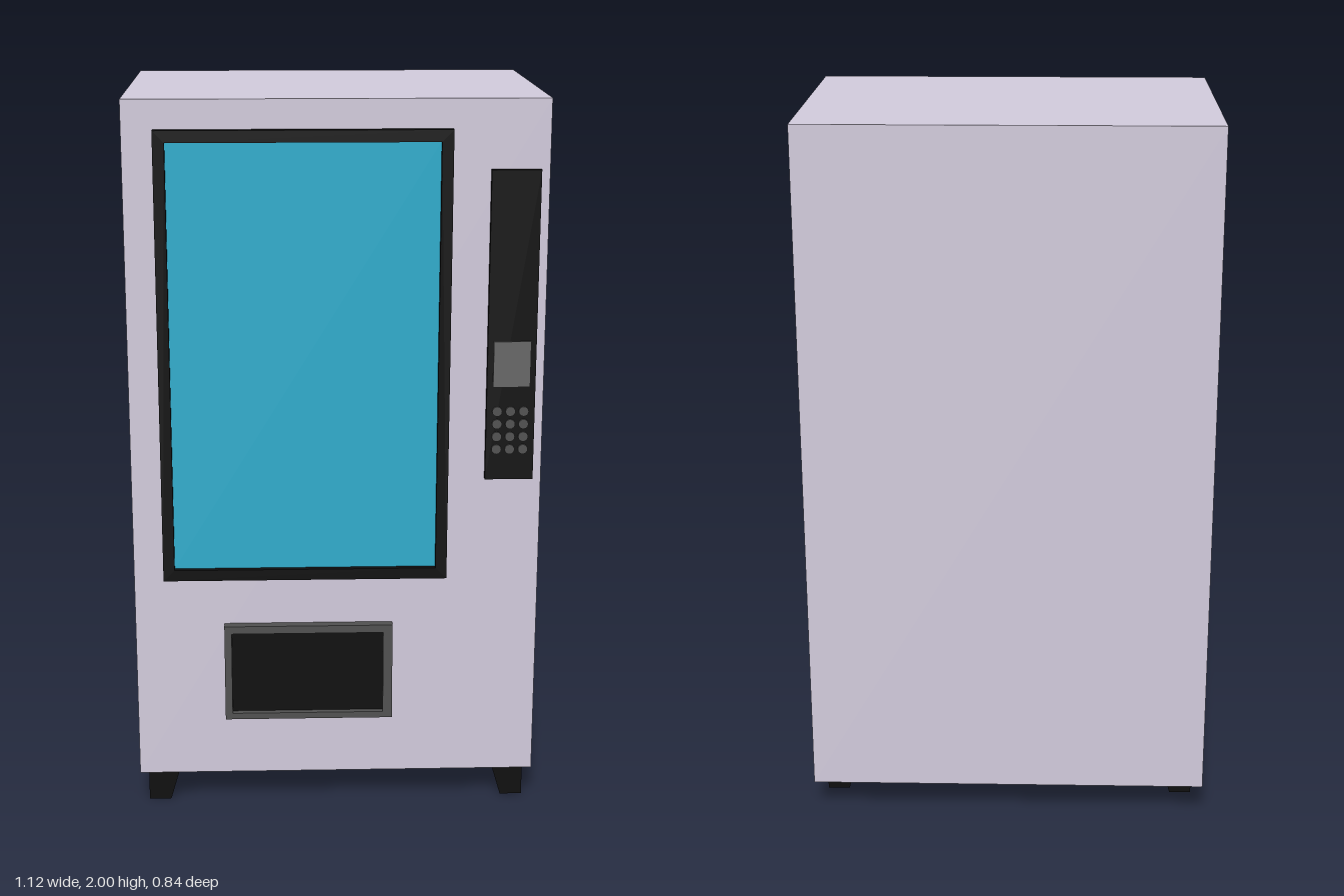
import * as THREE from 'three';

const mat = (color) => new THREE.MeshStandardMaterial({ color, flatShading: true });
const FRONT = 0.395; // z of the cabinet's front face

export function createModel() {
  const group = new THREE.Group();
  const shell = mat(0xd1cadb), black = mat(0x0e0e0e), grey = mat(0x505050);
  const screenGrey = mat(0x666666), glass = mat(0x2dabcb);

  const add = (name, geometry, material) => {
    const mesh = new THREE.Mesh(geometry, material);
    mesh.name = name;
    group.add(mesh);
    return mesh;
  };
  // Box given by its limits on each axis
  const box = (name, x0, x1, y0, y1, z0, z1, material) =>
    add(name, new THREE.BoxGeometry(x1 - x0, y1 - y0, z1 - z0), material)
      .position.set((x0 + x1) / 2, (y0 + y1) / 2, (z0 + z1) / 2);
  const rect = (T, x0, x1, y0, y1) => new T().moveTo(x0, y0).lineTo(x1, y0).lineTo(x1, y1).lineTo(x0, y1).closePath();
  // Rectangular frame standing on the front face
  const frame = (name, outer, inner, depth, material) => {
    const shape = rect(THREE.Shape, ...outer);
    shape.holes.push(rect(THREE.Path, ...inner));
    add(name, new THREE.ExtrudeGeometry(shape, { depth, bevelEnabled: false }), material).position.z = FRONT;
  };

  // Cabinet
  box('cabinet', -0.56, 0.56, 0.095, 2, -0.422, FRONT, shell);

  // Display window
  const pane = [-0.447, 0.273, 0.717, 1.89];
  frame('windowFrame', [-0.478, 0.304, 0.686, 1.922], pane, 0.024, black);
  box('windowGlass', ...pane, FRONT - 0.01, FRONT + 0.008, glass);

  // Collection tray
  const flap = [-0.293, 0.13, 0.288, 0.528];
  frame('trayFrame', [-0.313, 0.156, 0.27, 0.55], flap, 0.027, grey);
  box('trayFlap', ...flap, FRONT - 0.01, FRONT + 0.01, black);

  // Control panel with screen and keypad
  box('controlPanel', 0.405, 0.536, 0.97, 1.816, FRONT - 0.01, 0.411, black);
  box('screen', 0.421, 0.521, 1.231, 1.357, 0.4, 0.416, screenGrey);
  const key = new THREE.CylinderGeometry(0.0135, 0.0135, 0.015, 16).rotateX(Math.PI / 2);
  for (let row = 0; row < 4; row++) {
    for (let col = 0; col < 3; col++) {
      add('key', key, grey).position.set(0.434 + col * 0.036, 1.163 - row * 0.0355, 0.409);
    }
  }

  // Feet: straight outside, sloping inside
  for (const side of [-1, 1]) {
    const profile = new THREE.Shape([[0.537, 0], [0.537, 0.096], [0.447, 0.096], [0.475, 0]]
      .map(([x, y]) => new THREE.Vector2(side * x, y)));
    for (const z of [0.294, -0.291]) {
      add('foot', new THREE.ExtrudeGeometry(profile, { depth: 0.077, bevelEnabled: false }), black).position.z = z;
    }
  }
  return group;
}
